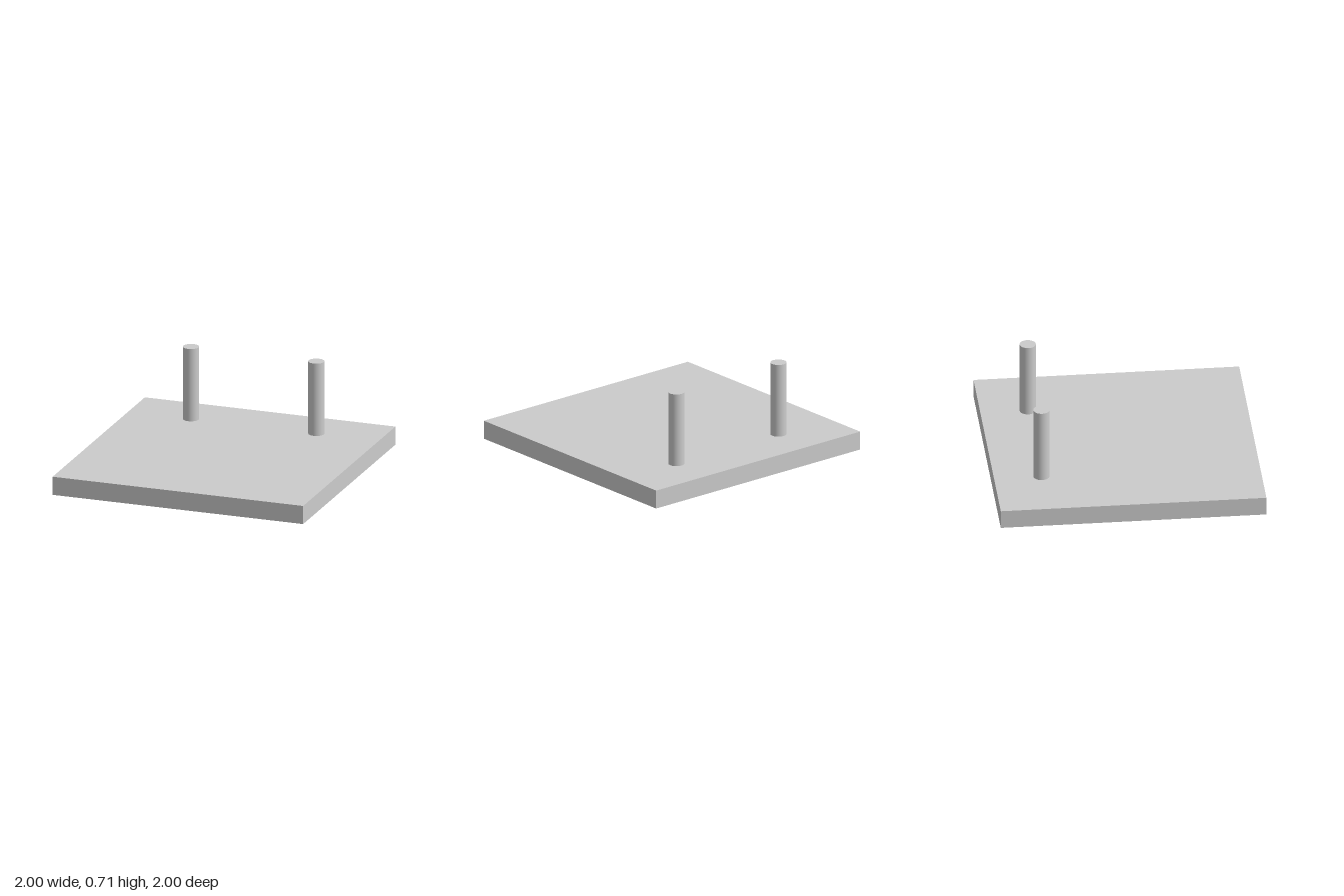
import * as THREE from 'three';

export function createModel() {
  const model = new THREE.Group();
  const grey = new THREE.MeshStandardMaterial({ color: 0xcccccc });
  const baseHeight = 0.143;
  const postTop = 0.714;

  // Square base plate
  const base = new THREE.Mesh(new THREE.BoxGeometry(2, baseHeight, 2), grey);
  base.name = 'basePlate';
  base.position.y = baseHeight / 2;
  model.add(base);

  // Two round posts near the back edge
  const postHeight = postTop - baseHeight;
  const postGeometry = new THREE.CylinderGeometry(0.061, 0.061, postHeight, 48);
  for (const [name, x] of [['leftPost', 0.5], ['rightPost', -0.5]]) {
    const post = new THREE.Mesh(postGeometry, grey);
    post.name = name;
    post.position.set(x, baseHeight + postHeight / 2, -0.643);
    model.add(post);
  }

  return model;
}
